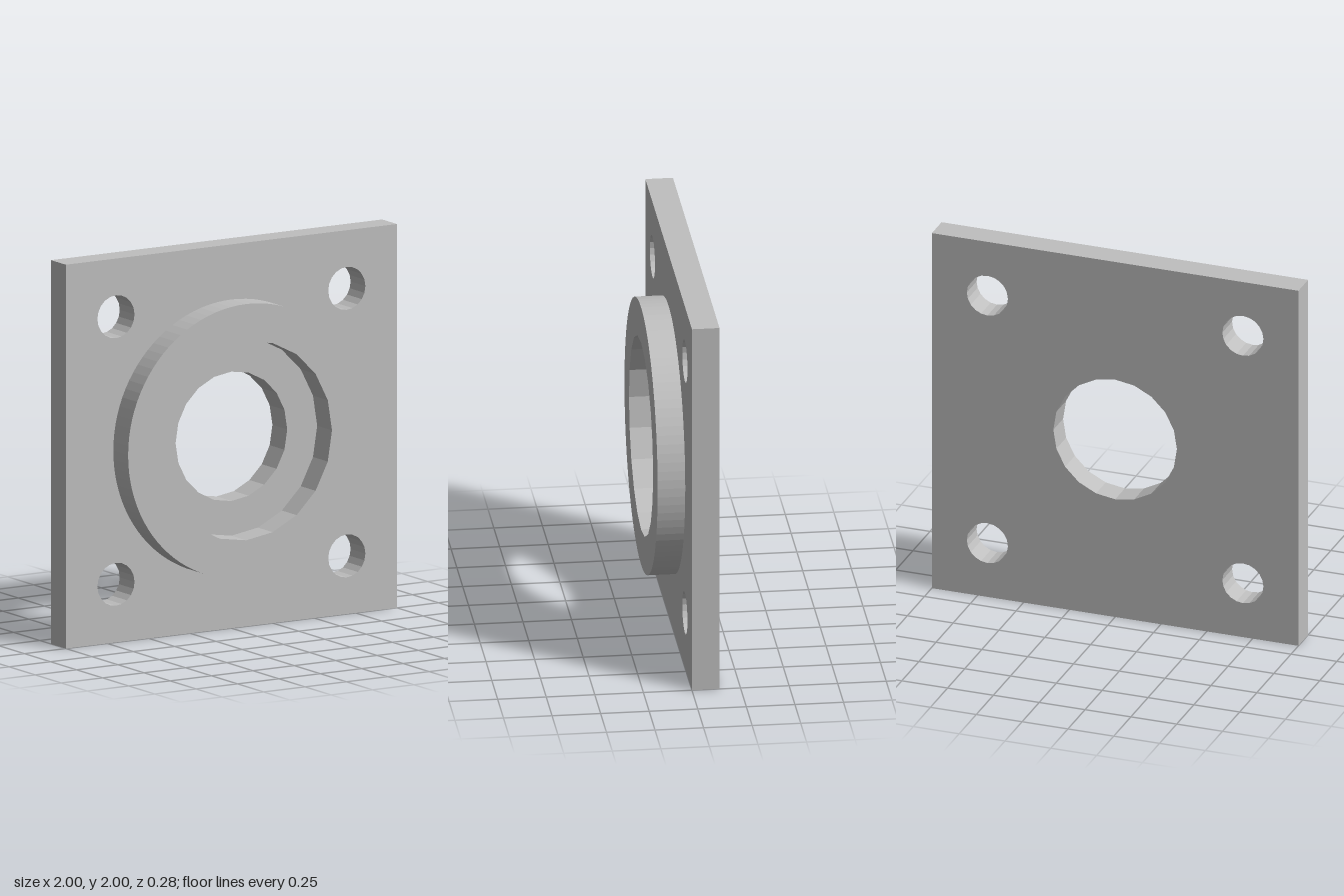
import * as THREE from 'three';

const THICKNESS = 0.142;

// Regular polygon outline with a vertex straight up
function ring(radius, sides, cx = 0, cy = 0) {
  const points = [];
  for (let i = 0; i < sides; i++) {
    const a = Math.PI / 2 + (i / sides) * Math.PI * 2;
    points.push(new THREE.Vector2(cx + radius * Math.cos(a), cy + radius * Math.sin(a)));
  }
  return points;
}

function extrudePart(name, outline, holes, z, material) {
  const shape = new THREE.Shape(outline);
  shape.holes = holes.map((points) => new THREE.Path(points));
  const geometry = new THREE.ExtrudeGeometry(shape, { depth: THICKNESS, bevelEnabled: false });
  const mesh = new THREE.Mesh(geometry, material);
  mesh.name = name;
  mesh.position.set(0, 1, z);
  return mesh;
}

export function createModel() {
  const group = new THREE.Group();
  group.name = 'flangePlate';
  const metal = new THREE.MeshStandardMaterial({ color: 0xbfbfbf });
  metal.name = 'grey metal';

  // Square plate with centre bore and four bolt holes
  const square = [[-1, -1], [1, -1], [1, 1], [-1, 1]].map(([x, y]) => new THREE.Vector2(x, y));
  const holes = [ring(0.337, 20)];
  for (const sx of [-1, 1]) {
    for (const sy of [-1, 1]) holes.push(ring(0.112, 20, sx * 0.697, sy * 0.697));
  }
  group.add(extrudePart('plate', square, holes, -THICKNESS, metal));

  // Raised round collar, its wider bore stopping at the plate face
  group.add(extrudePart('collar', ring(0.713, 96), [ring(0.518, 20)], 0, metal));

  return group;
}
